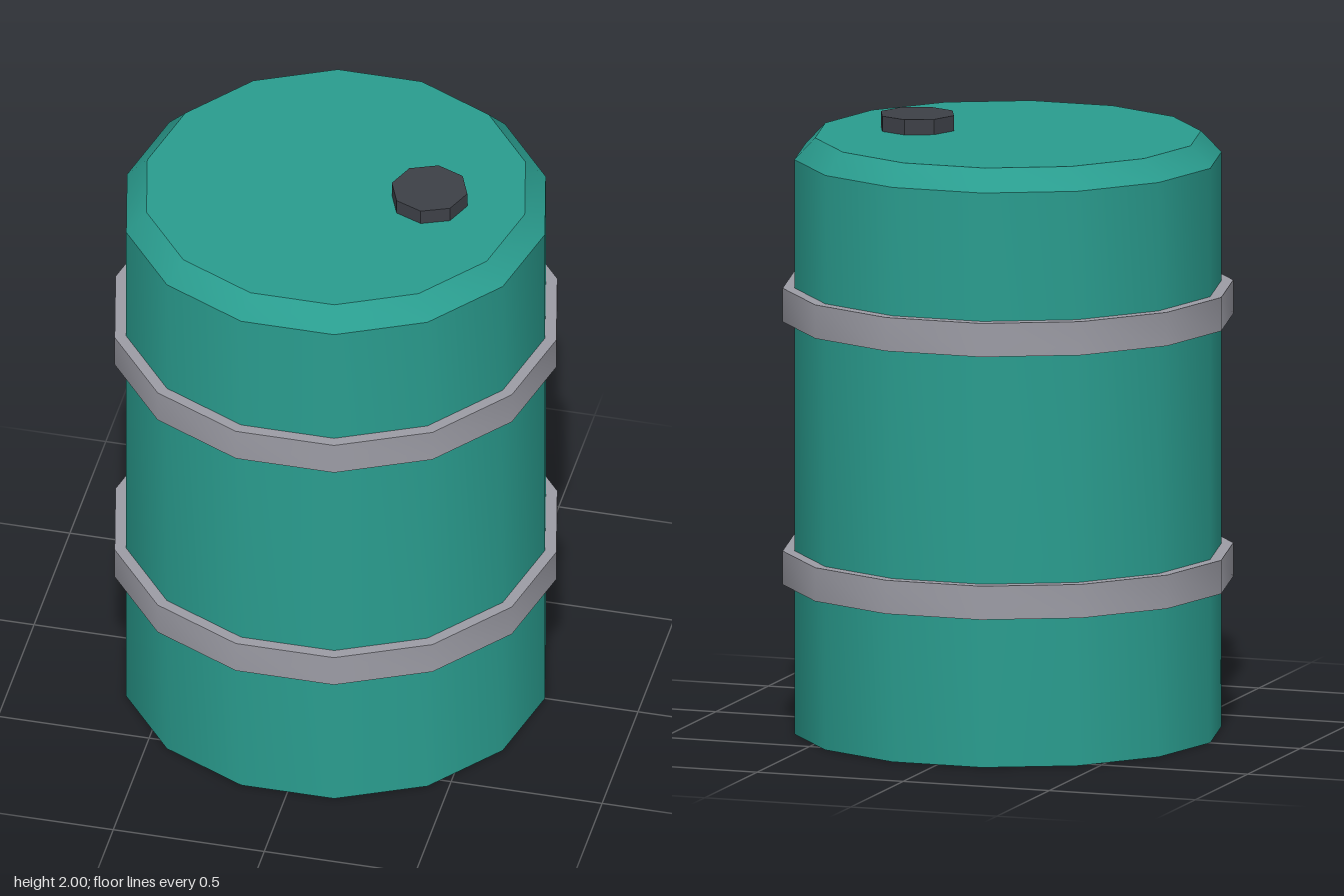
import * as THREE from 'three';
import { toCreasedNormals } from 'three/addons/utils/BufferGeometryUtils.js';

const material = (name, color) => {
  const m = new THREE.MeshStandardMaterial({ color });
  m.name = name;
  return m;
};

// Revolves a [radius, height] profile, with a corner on the x axis
function turned(name, profile, sides, mat) {
  const points = profile.map(([r, y]) => new THREE.Vector2(r, y));
  const lathe = new THREE.LatheGeometry(points, sides, Math.PI / 2);
  const mesh = new THREE.Mesh(toCreasedNormals(lathe, 0.6), mat);
  mesh.name = name;
  return mesh;
}

export function createModel() {
  const paint = material('teal paint', 0x2a9d8f);
  const steel = material('grey steel', 0x9c9ca5);
  const dark = material('dark plastic', 0x3d4047);

  const barrel = new THREE.Group();
  barrel.name = 'barrel';

  // Drum with a bevelled top rim
  barrel.add(turned('drum', [[0, 0], [0.692, 0], [0.692, 1.88], [0.625, 1.95], [0, 1.95]], 14, paint));

  // Two hoops around the drum
  [['lowerHoop', 0.545], ['upperHoop', 1.405]].forEach(([name, y]) => {
    const hoop = turned(name, [[0.66, -0.055], [0.73, -0.055], [0.73, 0.055], [0.66, 0.055]], 14, steel);
    hoop.position.y = y;
    barrel.add(hoop);
  });

  // Off-centre filler cap
  const cap = turned('fillerCap', [[0, -0.04], [0.125, -0.04], [0.125, 0.05], [0, 0.05]], 8, dark);
  cap.position.set(0.31, 1.95, 0);
  barrel.add(cap);

  return barrel;
}
